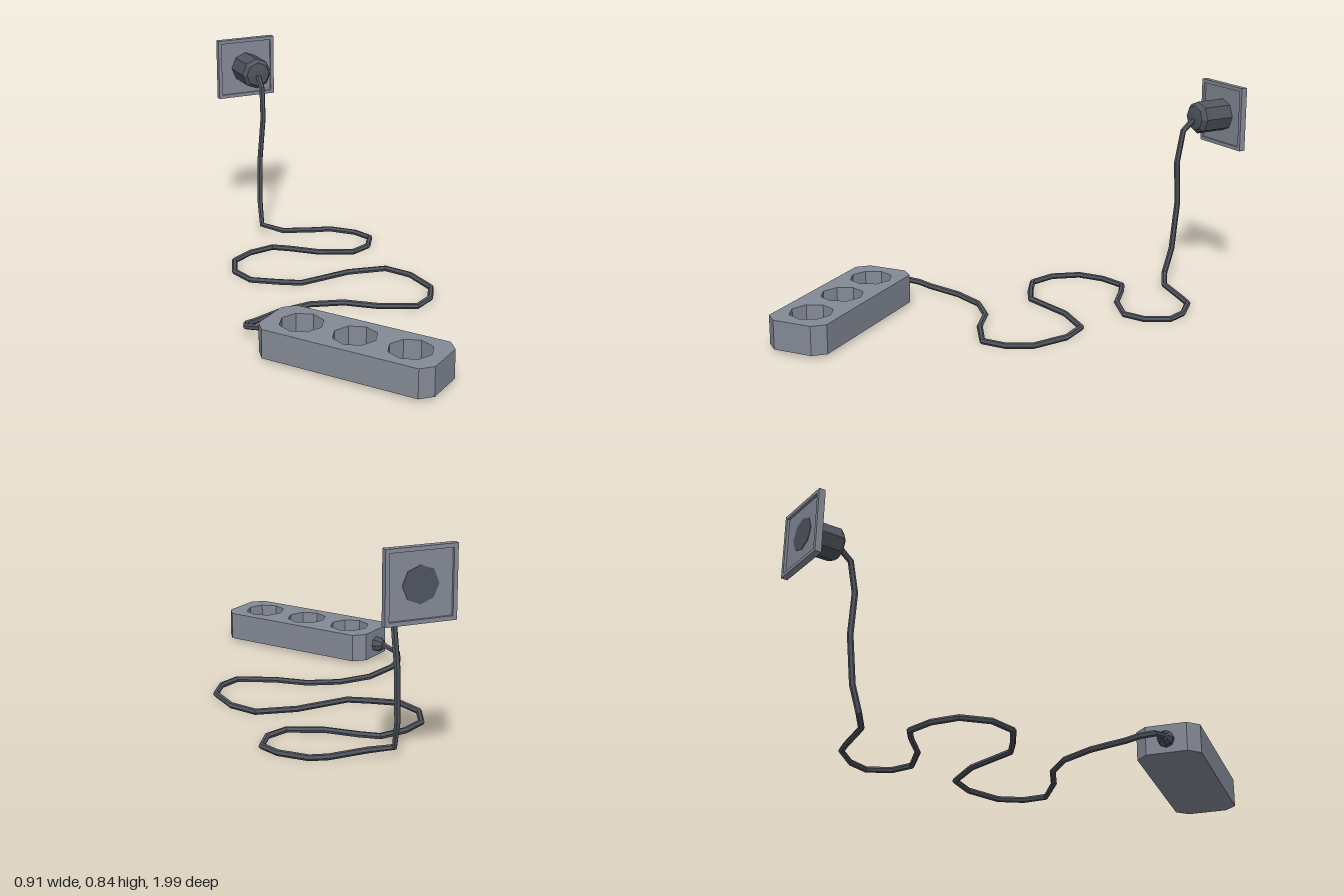
import * as THREE from 'three';

const grey = new THREE.MeshStandardMaterial({ color: 0x848a96, flatShading: true });
grey.name = 'mid grey plastic';
const dark = new THREE.MeshStandardMaterial({ color: 0x50555e, flatShading: true });
dark.name = 'dark grey rubber';

function add(parent, name, geometry, material) {
  const mesh = new THREE.Mesh(geometry, material);
  mesh.name = name;
  parent.add(mesh);
  return mesh;
}

const toPoints = (list) => list.map(([x, y]) => new THREE.Vector2(x, y));

const octagon = (cx, cy, r) => toPoints(Array.from({ length: 8 }, (_, i) => {
  const a = (i * Math.PI) / 4;
  return [cx + r * Math.cos(a), cy + r * Math.sin(a)];
}));

// Rectangle with cut corners, centred on the origin
function cutRect(w, h, cx, cy) {
  const x = w / 2, y = h / 2;
  return new THREE.Shape(toPoints([
    [x - cx, -y], [x, -y + cy], [x, y - cy], [x - cx, y],
    [-x + cx, y], [-x, y - cy], [-x, -y + cy], [-x + cx, -y],
  ]));
}

const square = (s) => toPoints([[-s, -s], [s, -s], [s, s], [-s, s]]);

const extrude = (shape, depth) => new THREE.ExtrudeGeometry(shape, { depth, bevelEnabled: false });

const latheZ = (profile) => new THREE.LatheGeometry(toPoints(profile), 8).rotateX(Math.PI / 2);

// Tube that bends sharply at every given point
function polylineTube(points, radius, sides) {
  const n = points.length - 1;
  const at = (i) => points[Math.min(n, Math.max(0, i))];
  const curve = new THREE.Curve();
  curve.getPoint = (t) => {
    const i = Math.min(n - 1, Math.floor(t * n));
    return at(i).clone().lerp(at(i + 1), t * n - i);
  };
  curve.getPointAt = (u) => at(Math.round(u * n)).clone();
  curve.getTangentAt = (u) => {
    const i = Math.round(u * n);
    const d = new THREE.Vector3();
    if (i > 0) d.add(at(i).clone().sub(at(i - 1)).normalize());
    if (i < n) d.add(at(i + 1).clone().sub(at(i)).normalize());
    return d.normalize();
  };
  return new THREE.TubeGeometry(curve, n, radius, sides, false);
}

function createPowerStrip() {
  const strip = new THREE.Group();
  strip.name = 'powerStrip';

  // Body with three octagonal pockets over a closed base
  const top = cutRect(0.25, 0.716, 0.045, 0.041);
  for (const y of [-0.223, 0, 0.223]) top.holes.push(new THREE.Path(octagon(0, y, 0.084)));
  add(strip, 'stripBody', extrude(top, 0.095).rotateX(-Math.PI / 2).translate(0, 0.035, 0), grey);
  const base = cutRect(0.25, 0.716, 0.045, 0.041);
  add(strip, 'stripBase', extrude(base, 0.02).rotateX(-Math.PI / 2).translate(0, 0.015, 0), grey);

  // Cable grommet on the rear end
  add(strip, 'cableGrommet', latheZ([[0, -0.04], [0.018, -0.04], [0.032, -0.02], [0.032, 0], [0, 0]]), dark)
    .position.set(0, 0.068, -0.357);

  strip.position.set(-0.175, 0, 0.653);
  strip.rotation.y = 0.612;
  return strip;
}

function createWallSocket() {
  const socket = new THREE.Group();
  socket.name = 'wallSocket';

  // Square rim around a recessed panel
  const rim = new THREE.Shape(square(0.131));
  rim.holes.push(new THREE.Path(square(0.116)));
  add(socket, 'wallPlateRim', extrude(rim, 0.026), grey);
  add(socket, 'wallPlatePanel', new THREE.BoxGeometry(0.232, 0.232, 0.008).translate(0, 0, 0.014), grey);

  // Plug pushed through the panel
  add(socket, 'plug', latheZ([
    [0, 0.008], [0.067, 0.008], [0.067, 0.145], [0.052, 0.163], [0.02, 0.167], [0, 0.167],
  ]), dark);

  socket.position.set(0.07, 0.709, -1);
  return socket;
}

function createCable() {
  // Drop from the plug to the floor
  const drop = [
    [0.068, 0.705, -0.83], [0.068, 0.695, -0.825], [0.066, 0.66, -0.785], [0.06, 0.53, -0.763],
    [0.05, 0.35, -0.778], [0.04, 0.15, -0.763], [0.036, 0.047, -0.733], [0.113, 0.026, -0.676],
  ];
  // Winding run along the floor, as x and z
  const run = [
    [0.257, -0.656], [0.325, -0.638], [0.41, -0.55], [0.44, -0.465], [0.388, -0.38],
    [0.3, -0.343], [0.167, -0.4], [0.066, -0.492], [0.003, -0.538], [-0.108, -0.518],
    [-0.203, -0.46], [-0.246, -0.348], [-0.22, -0.236], [-0.124, -0.168], [-0.043, -0.12],
    [0.18, -0.146], [0.34, -0.116], [0.402, -0.01], [0.415, 0.143], [0.362, 0.234],
    [0.277, 0.285], [0.134, 0.217], [0.029, 0.132], [-0.098, 0.093], [-0.24, 0.108],
  ].map(([x, z]) => [x, 0.014, z]);
  // Rise to the strip
  const rise = [[-0.372, 0.022, 0.17], [-0.412, 0.034, 0.2], [-0.436, 0.05, 0.255], [-0.408, 0.066, 0.318], [-0.385, 0.068, 0.35]];
  const points = [...drop, ...run, ...rise].map((p) => new THREE.Vector3(...p));
  return polylineTube(points, 0.012, 6);
}

export function createModel() {
  const model = new THREE.Group();
  model.name = 'extensionLead';
  model.add(createPowerStrip(), createWallSocket());
  add(model, 'cable', createCable(), dark);
  return model;
}
